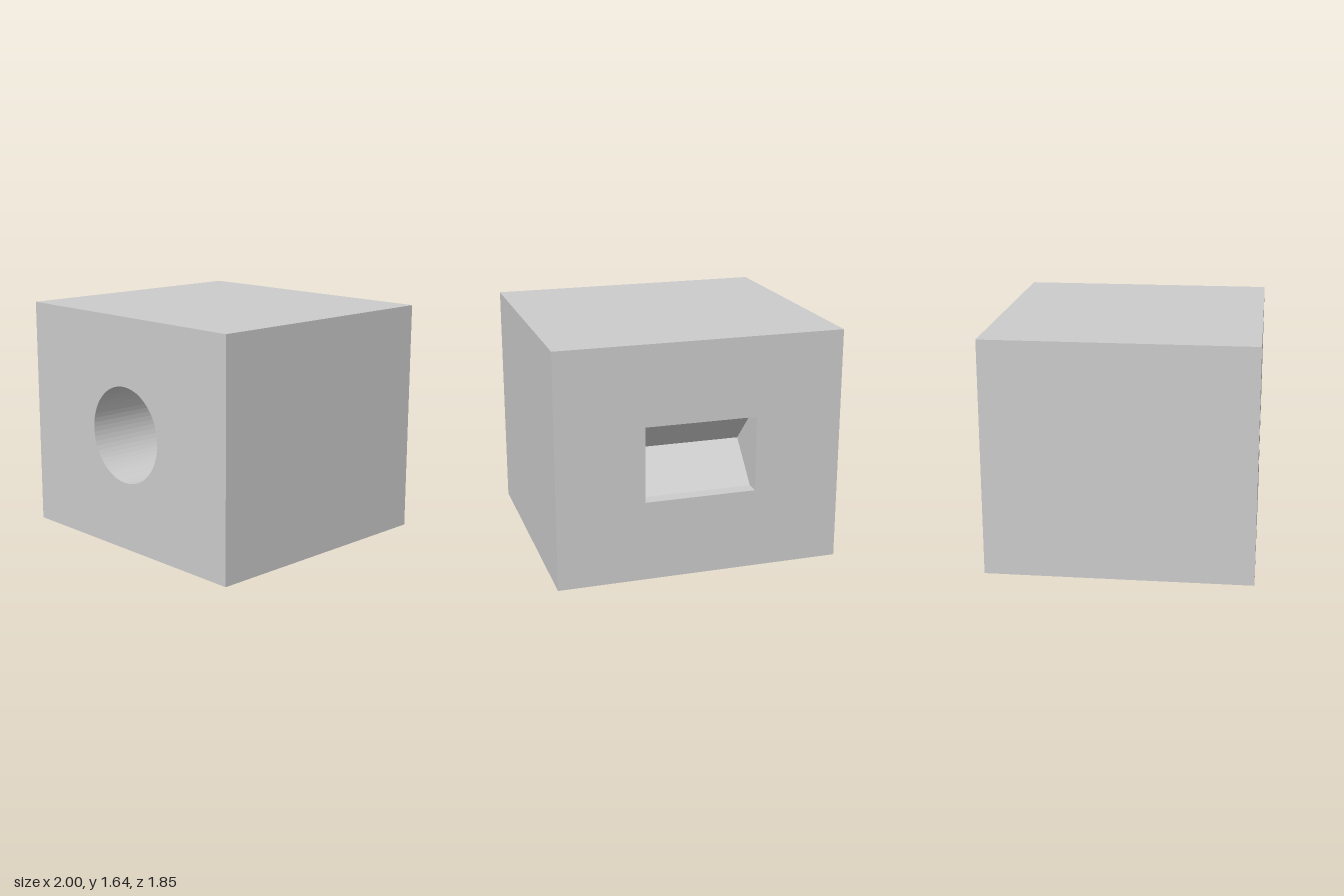
import * as THREE from 'three';
import { mergeGeometries } from 'three/addons/utils/BufferGeometryUtils.js';

const W = 2, H = 1.645, D = 1.845;          // block
const BORE_R = 0.34, INNER_R = 0.26;        // stepped round bore
const SLOT_X = 0.39, SLOT_Y = 0.2635;       // half size of the rear slot
const SEGMENTS = 64;

const rectangle = (Type, x, y) => new Type(
  [[-x, -y], [x, -y], [x, y], [-x, y]].map(p => new THREE.Vector2(...p)));

// A block face with an opening, facing +z
function panel(hole) {
  const shape = rectangle(THREE.Shape, W / 2, H / 2);
  shape.holes.push(hole);
  return new THREE.ShapeGeometry(shape, SEGMENTS / 2).translate(0, 0, D / 2);
}

// Outer skin: pierced front and back, four plain sides
function blockGeometry() {
  const circle = new THREE.Path().absarc(0, 0, BORE_R, 0, Math.PI * 2, true);
  const parts = [
    panel(circle),
    panel(rectangle(THREE.Path, SLOT_X, SLOT_Y)).rotateY(Math.PI),
  ];
  for (let k = 0; k < 4; k++) {
    const [w, h] = k % 2 ? [H, W] : [W, H];
    parts.push(new THREE.PlaneGeometry(w, D)
      .rotateX(-Math.PI / 2).translate(0, h / 2, 0).rotateZ(k * Math.PI / 2));
  }
  return mergeGeometries(parts.map(g => g.toNonIndexed()));
}

// Blind bore, profile run from the mouth inwards so the faces look inwards
function boreGeometry() {
  const profile = [[BORE_R, 0], [BORE_R, -0.92], [INNER_R, -0.92], [INNER_R, -1.2], [0, -1.2]];
  return new THREE.LatheGeometry(profile.map(p => new THREE.Vector2(...p)), SEGMENTS)
    .rotateX(Math.PI / 2).translate(0, 0, D / 2);
}

// Rear slot: short straight mouth, then two 45 degree slopes meeting in a V
function slotGeometry() {
  const lip = 0.1;
  const profile = [[0, -SLOT_Y], [lip, -SLOT_Y], [lip + SLOT_Y, 0], [lip, SLOT_Y], [0, SLOT_Y]];
  const point = (x, i) => [x, profile[i][1], profile[i][0] - D / 2];
  const l = -SLOT_X, r = SLOT_X, corners = [];
  for (let i = 0; i < 4; i++) {
    corners.push(point(l, i), point(l, i + 1), point(r, i + 1));
    corners.push(point(l, i), point(r, i + 1), point(r, i));
  }
  // End walls
  for (let i = 1; i < 4; i++) {
    corners.push(point(r, 0), point(r, i), point(r, i + 1));
    corners.push(point(l, 0), point(l, i + 1), point(l, i));
  }
  const geometry = new THREE.BufferGeometry();
  geometry.setAttribute('position', new THREE.Float32BufferAttribute(corners.flat(), 3));
  geometry.computeVertexNormals();
  return geometry;
}

export function createModel() {
  const group = new THREE.Group();
  group.name = 'boredBlock';
  const material = new THREE.MeshStandardMaterial({ color: 0xcccccc, flatShading: true });
  const add = (name, geometry) => {
    const mesh = new THREE.Mesh(geometry, material);
    mesh.name = name;
    mesh.position.y = H / 2;
    group.add(mesh);
  };
  add('block', blockGeometry());
  add('frontBore', boreGeometry());
  add('rearSlot', slotGeometry());
  return group;
}
